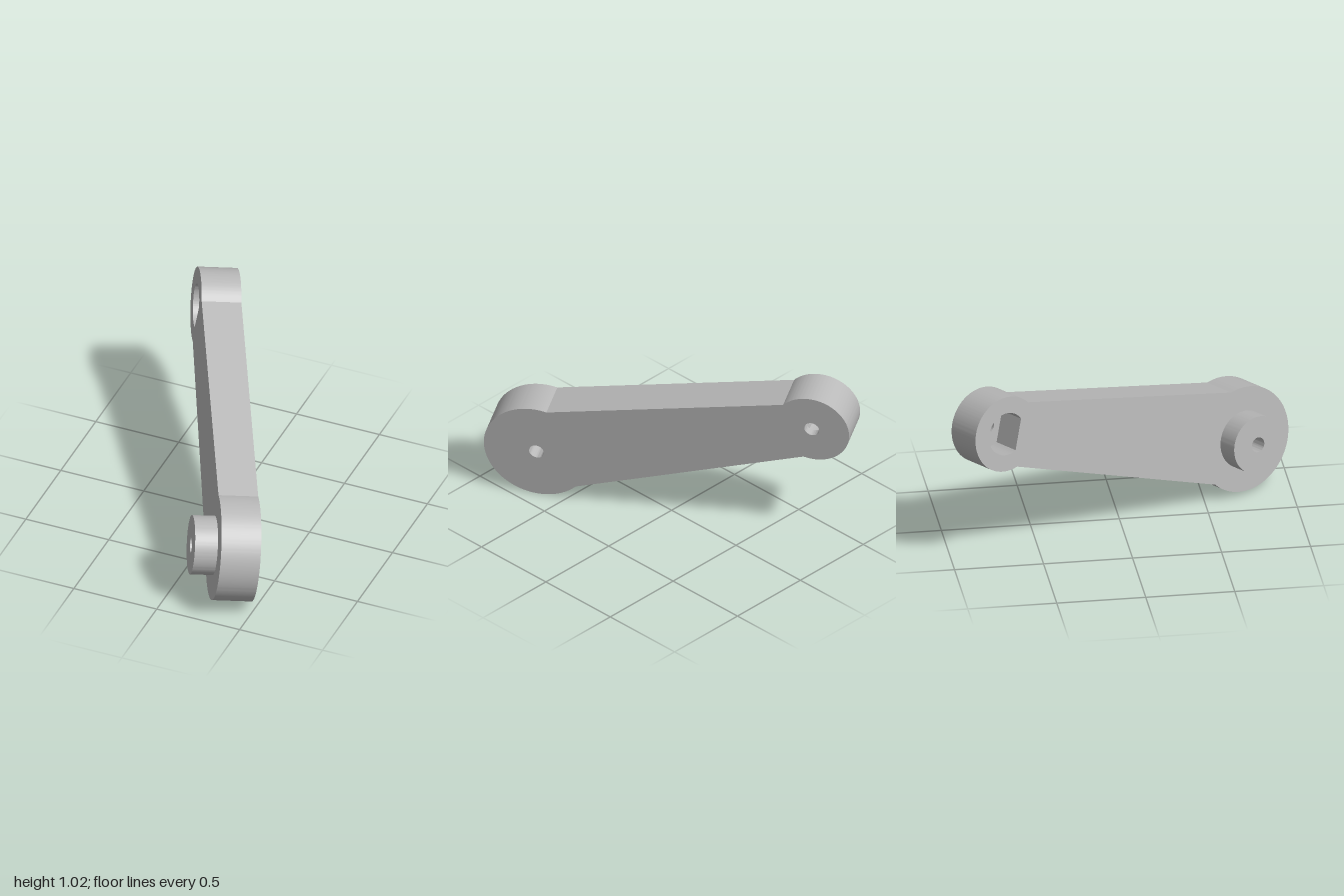
import * as THREE from 'three';
import { toCreasedNormals } from 'three/addons/utils/BufferGeometryUtils.js';

const THICK = 0.223;          // arm thickness
const LENGTH = 1.679;         // distance between the two hubs
const BIG_R = 0.304, SMALL_R = 0.216, BOSS_R = 0.165, HOLE_R = 0.043;
const BOSS_H = 0.128, FLOOR = 0.045;

const circle = (Type, x, r) => new Type().absarc(x, 0, r, 0, Math.PI * 2, false);

// D-shaped outline with its flat towards the big hub
function dShape(Type, x, r, flat) {
  const a = Math.acos(flat / r);
  const d = new Type().absarc(x, 0, r, a, Math.PI * 2 - a, false);
  d.closePath();
  return d;
}

function extrude(shape, holes, depth) {
  shape.holes.push(...holes);
  const geo = new THREE.ExtrudeGeometry(shape, { depth, bevelEnabled: false, curveSegments: 64 });
  return toCreasedNormals(geo, 0.4);
}

export function createModel() {
  const grey = new THREE.MeshStandardMaterial({ color: 0xb8b8b8 });
  grey.name = 'grey';
  const group = new THREE.Group();
  group.name = 'crankArm';

  const add = (name, geo, z = 0) => {
    const mesh = new THREE.Mesh(geo, grey);
    mesh.name = name;
    mesh.position.z = z;
    arm.add(mesh);
  };
  const arm = new THREE.Group();
  arm.name = 'arm';
  group.add(arm);

  // Tapered arm joining a large and a small round hub
  const outline = new THREE.Shape();
  outline.absarc(0, 0, BIG_R, -2.086, 2.086, false);
  outline.absarc(-LENGTH, 0, SMALL_R, 1.025, Math.PI * 2 - 1.025, false);
  outline.closePath();
  add('armBody', extrude(outline, [
    circle(THREE.Path, 0, HOLE_R),
    dShape(THREE.Path, -LENGTH, 0.122, 0.082),
  ], THICK));

  // Thin floor of the D-shaped socket, with a screw hole
  add('socketFloor', extrude(dShape(THREE.Shape, -LENGTH, 0.122, 0.082),
    [circle(THREE.Path, -LENGTH, HOLE_R)], FLOOR));

  // Raised boss on the front of the large hub
  add('boss', extrude(circle(THREE.Shape, 0, BOSS_R),
    [circle(THREE.Path, 0, HOLE_R)], BOSS_H), THICK);

  // Tilt the arm into place: local x runs to the large hub, local z is the front normal
  const z = new THREE.Vector3(-0.875, 0.112, 0.471).normalize();
  const x = new THREE.Vector3(0.425, -0.287, 0.859);
  const y = new THREE.Vector3().crossVectors(z, x).normalize();
  x.crossVectors(y, z);
  arm.quaternion.setFromRotationMatrix(new THREE.Matrix4().makeBasis(x, y, z));
  arm.position.set(0.428, 0.302, 0.632);
  return group;
}
